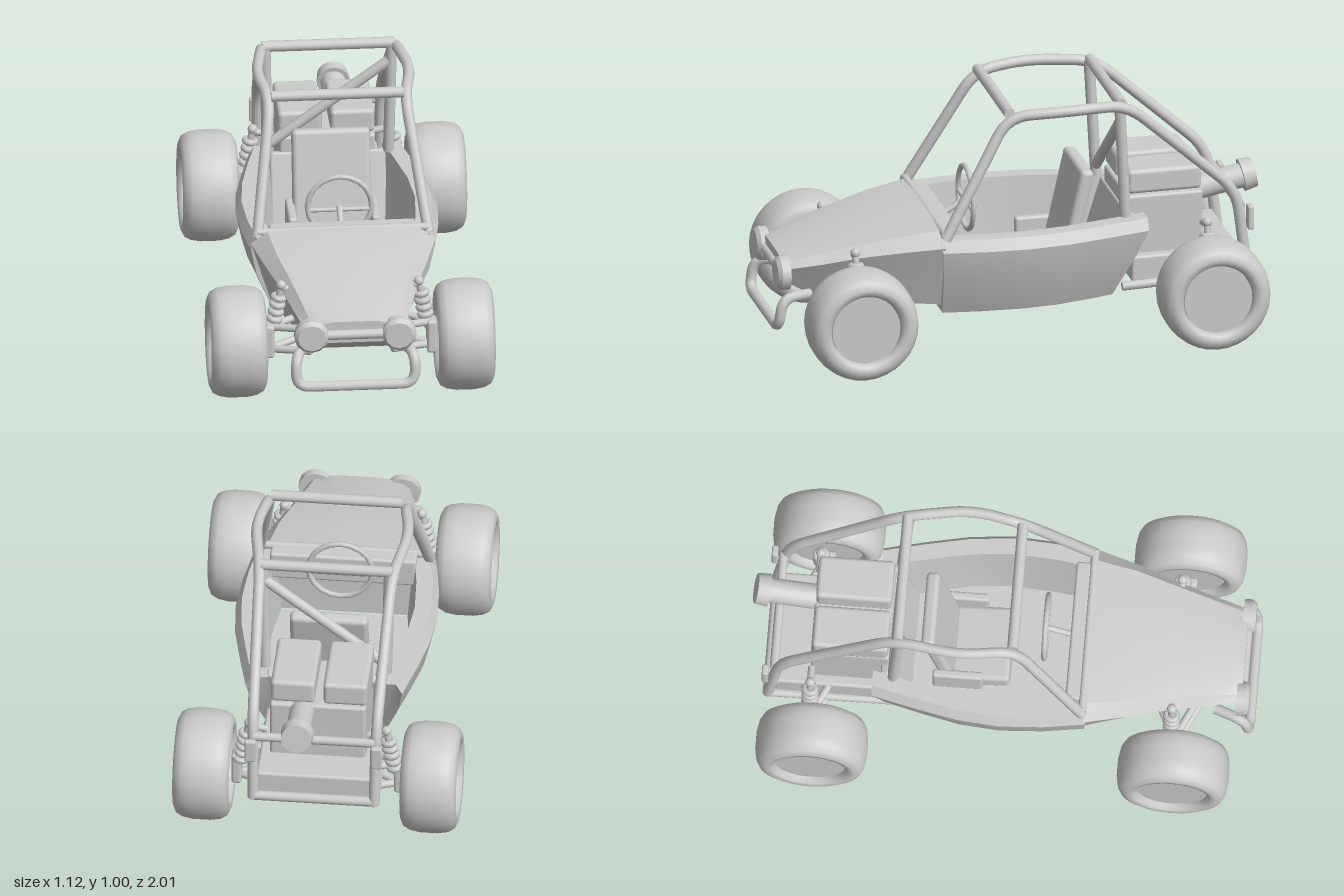
import * as THREE from 'three';
import { toCreasedNormals } from 'three/addons/utils/BufferGeometryUtils.js';
import { RoundedBoxGeometry } from 'three/addons/geometries/RoundedBoxGeometry.js';

const grey = new THREE.MeshStandardMaterial({ color: 0xcccccc });
const greyDouble = new THREE.MeshStandardMaterial({ color: 0xcccccc, side: THREE.DoubleSide });
const V = (p) => new THREE.Vector3(...p);
const flip = (p, s) => [p[0] * s, p[1], p[2]];

function add(parent, name, geometry, pos = [0, 0, 0], rot = [0, 0, 0], material = grey) {
  const mesh = new THREE.Mesh(geometry, material);
  mesh.name = name;
  mesh.position.set(...pos);
  mesh.rotation.set(...rot);
  parent.add(mesh);
  return mesh;
}

const box = (parent, name, size, pos, rot, r = 0.012) =>
  add(parent, name, new RoundedBoxGeometry(...size, 2, r), pos, rot);

// Straight round bar between two points
function rod(parent, name, a, b, r, r2 = r, sides = 12) {
  const dir = V(b).sub(V(a));
  const mesh = add(parent, name, new THREE.CylinderGeometry(r2, r, dir.length(), sides));
  mesh.position.copy(V(a).add(V(b)).multiplyScalar(0.5));
  mesh.quaternion.setFromUnitVectors(new THREE.Vector3(0, 1, 0), dir.normalize());
  return mesh;
}

// Bent pipe: straight runs joined by rounded corners
function pipe(parent, name, points, radius, bend) {
  const pts = points.map(V), path = new THREE.CurvePath();
  let from = pts[0];
  for (let i = 1; i < pts.length - 1; i++) {
    const c = pts[i];
    const toward = (q) => c.clone().add(q.clone().sub(c).setLength(Math.min(bend, q.distanceTo(c) * 0.48)));
    const a = toward(pts[i - 1]), b = toward(pts[i + 1]);
    path.add(new THREE.LineCurve3(from, a));
    path.add(new THREE.QuadraticBezierCurve3(a, c, b));
    from = b;
  }
  path.add(new THREE.LineCurve3(from, pts[pts.length - 1]));
  return add(parent, name, new THREE.TubeGeometry(path, 72, radius, 10, false), undefined, undefined, greyDouble);
}

// Skin over half sections (centre line first and last), mirrored in x, with end caps
function loft(halves, crease = 0.5) {
  const rings = halves.map((h) => [...h, ...h.slice(1, -1).reverse().map((p) => flip(p, -1))]);
  const n = rings[0].length, index = [];
  rings.slice(1).forEach((_, r) => {
    for (let i = 0; i < n; i++) {
      const a = r * n + i, b = r * n + (i + 1) % n;
      index.push(a, a + n, b, b, a + n, b + n);
    }
  });
  [0, rings.length - 1].forEach((r) => {
    const flat = rings[r].map((p) => new THREE.Vector2(p[0], p[1]));
    THREE.ShapeUtils.triangulateShape(flat, []).forEach(([a, b, c]) => {
      index.push(...(r ? [a, c, b] : [a, b, c]).map((k) => k + r * n));
    });
  });
  const g = new THREE.BufferGeometry();
  g.setAttribute('position', new THREE.Float32BufferAttribute(rings.flat(2), 3));
  g.setIndex(index);
  return toCreasedNormals(g, crease);
}

function wheel(parent, name, x, z) {
  const group = new THREE.Group();
  group.name = name;
  group.position.set(x, 0.226, z);
  group.rotation.z = -Math.PI / 2 * Math.sign(x);
  parent.add(group);
  const profile = [[0.14, -0.085], [0.15, -0.108], [0.175, -0.112], [0.2, -0.1], [0.214, -0.075], [0.221, -0.035],
    [0.221, 0.035], [0.214, 0.075], [0.2, 0.1], [0.175, 0.112], [0.15, 0.108], [0.14, 0.085], [0.14, -0.085]];
  add(group, 'tyre', new THREE.LatheGeometry(profile.map((p) => new THREE.Vector2(...p)), 32),
    undefined, undefined, greyDouble);
  add(group, 'rimDisc', new THREE.CylinderGeometry(0.138, 0.138, 0.17, 32));
}

// Shock absorber with stacked spring coils
function shock(parent, name, a, b) {
  rod(parent, name, a, b, 0.014);
  for (let i = 0; i < 5; i++) {
    const p = V(a).lerp(V(b), 0.15 + i * 0.15);
    const coil = add(parent, name + 'Coil', new THREE.TorusGeometry(0.021, 0.013, 8, 16), p.toArray());
    coil.quaternion.setFromUnitVectors(new THREE.Vector3(0, 0, 1), V(b).sub(V(a)).normalize());
  }
  add(parent, name + 'Cap', new THREE.SphereGeometry(0.02, 12, 8), b);
}

export function createModel() {
  const car = new THREE.Group();
  car.name = 'buggy';

  // Open tub: z of the top edge, z of the floor, half width, floor half width
  const tub = [[0.34, 0.32, 0.365, 0.27], [0.17, 0.17, 0.39, 0.29], [0, 0, 0.4, 0.3], [-0.17, -0.14, 0.385, 0.29],
    [-0.34, -0.27, 0.35, 0.26], [-0.51, -0.38, 0.31, 0.23]].map(([z, zf, w, f]) => {
    const at = (x, y) => [x, y, zf + (z - zf) * Math.min(1, (y - 0.17) / 0.28)];
    return [at(0, 0.17), at(f, 0.17), at(f + (w - f) * 0.75, 0.34), at(w, 0.455), at(w - 0.025, 0.5),
      at(w - 0.09, 0.5), at(f - 0.02, 0.21), at(0, 0.21)];
  });
  add(car, 'tub', loft(tub), undefined, undefined, greyDouble);

  // Nose: z, top, shoulder half width, shoulder y, side half width, side y, keel half width, keel y
  const nose = [[0.33, 0.535, 0.3, 0.53, 0.365, 0.475, 0.28, 0.21], [0.5, 0.515, 0.275, 0.505, 0.32, 0.455, 0.23, 0.215],
    [0.66, 0.485, 0.235, 0.472, 0.27, 0.43, 0.19, 0.225], [0.81, 0.452, 0.2, 0.438, 0.23, 0.4, 0.14, 0.24],
    [0.945, 0.415, 0.17, 0.4, 0.195, 0.38, 0.165, 0.325]].map(([z, t, sw, sy, w, wy, k, ky]) =>
    [[0, ky, z], [k, ky, z], [w, wy, z], [sw, sy, z], [sw * 0.5, t, z], [0, t, z]]);
  add(car, 'nose', loft(nose), undefined, undefined, greyDouble);
  box(car, 'dashboard', [0.58, 0.12, 0.08], [0, 0.47, 0.295]);
  box(car, 'firewall', [0.46, 0.3, 0.04], [0, 0.35, -0.42], [-0.3, 0, 0]);

  // Seat
  box(car, 'seatBack', [0.31, 0.4, 0.055], [0, 0.47, -0.26], [-0.22, 0, 0], 0.02);
  box(car, 'seatCushion', [0.31, 0.08, 0.25], [0, 0.27, -0.1], [-0.08, 0, 0], 0.02);
  for (const s of [-1, 1]) box(car, 'seatBolster', [0.035, 0.12, 0.2], [s * 0.165, 0.32, -0.18]);

  // Steering
  add(car, 'steeringWheel', new THREE.TorusGeometry(0.127, 0.011, 8, 20), [0, 0.545, 0.158]);
  rod(car, 'steeringSpoke', [-0.125, 0.53, 0.158], [0.125, 0.53, 0.158], 0.009);
  rod(car, 'steeringColumn', [0, 0.54, 0.155], [0, 0.47, 0.28], 0.012);

  // Roll cage
  const cage = new THREE.Group();
  cage.name = 'rollCage';
  car.add(cage);
  for (const s of [-1, 1]) {
    const side = (pts) => pts.map((p) => flip(p, s));
    pipe(cage, 'sideRail', side([[0.338, 0.5, 0.325], [0.267, 0.97, 0.055], [0.305, 0.985, -0.16], [0.262, 0.975, -0.43],
      [0.245, 0.57, -0.88], [0.24, 0.22, -0.925]]), 0.022, 0.09);
    pipe(cage, 'rearPost', side([[0.25, 0.98, -0.405], [0.24, 0.5, -0.43]]), 0.022, 0.05);
    rod(cage, 'lowerRail', flip([0.24, 0.22, -0.925], s), flip([0.23, 0.2, -0.42], s), 0.018);
    box(car, 'tailLight', [0.045, 0.1, 0.025], [s * 0.25, 0.455, -0.935], undefined, 0.008);
  }
  for (const [name, x, y, z, r] of [['windscreenBar', 0.338, 0.522, 0.325, 0.016], ['frontRoofBar', 0.262, 0.98, 0.045, 0.022],
    ['rearRoofBar', 0.262, 0.98, -0.41, 0.022], ['upperRearBar', 0.24, 0.5, -0.9, 0.018],
    ['lowerRearBar', 0.24, 0.23, -0.925, 0.02]]) rod(cage, name, [-x, y, z], [x, y, z], r);
  rod(cage, 'diagonalBrace', [0.25, 0.91, -0.41], [-0.24, 0.54, -0.43], 0.021);

  // Engine, tray and exhaust
  box(car, 'engineTray', [0.46, 0.11, 0.44], [0, 0.265, -0.68]);
  box(car, 'engineBlock', [0.38, 0.26, 0.31], [0, 0.43, -0.605]);
  for (const x of [-0.108, 0.1]) box(car, 'cylinderHead', [0.175, 0.1, 0.3], [x, 0.615, -0.605], undefined, 0.018);
  rod(car, 'exhaustPipe', [0.062, 0.515, -0.7], [0.062, 0.562, -0.96], 0.05, 0.05, 20);
  rod(car, 'exhaustTip', [0.062, 0.56, -0.945], [0.062, 0.57, -0.995], 0.066, 0.06, 20);

  // Headlights and bumper
  for (const x of [-0.173, 0.173]) {
    rod(car, 'headlight', [x, 0.36, 0.925], [x, 0.36, 0.96], 0.069, 0.069, 12);
    rod(car, 'headlightLens', [x, 0.36, 0.96], [x, 0.36, 0.975], 0.069, 0.055, 12);
  }
  rod(car, 'headlightBar', [-0.15, 0.36, 0.945], [0.15, 0.36, 0.945], 0.02);
  pipe(car, 'frontBumper', [[-0.19, 0.27, 0.84], [-0.235, 0.275, 0.96], [-0.235, 0.153, 0.978], [0.235, 0.153, 0.978],
    [0.235, 0.275, 0.96], [0.19, 0.27, 0.84]], 0.021, 0.055);

  // Wheels and suspension
  for (const s of [-1, 1]) {
    const label = s > 0 ? 'left' : 'right';
    for (const [end, z] of [['Front', 0.695], ['Rear', -0.735]]) {
      wheel(car, label + end + 'Wheel', s * 0.45, z);
      box(car, 'hubCarrier', [0.04, 0.14, 0.07], [s * 0.322, 0.23, z]);
      for (const y of [0.19, 0.285]) for (const dz of [-0.08, 0.08]) {
        rod(car, 'wishboneArm', [s * 0.16, y + 0.02, z + dz], [s * 0.32, y, z], 0.015);
      }
      shock(car, 'shockAbsorber', [s * 0.31, 0.25, z - 0.02], [s * 0.272, 0.455, z - 0.02]);
      rod(car, 'shockMount', [s * 0.2, 0.43, z - 0.02], [s * 0.275, 0.445, z - 0.02], 0.014);
    }
  }
  return car;
}
